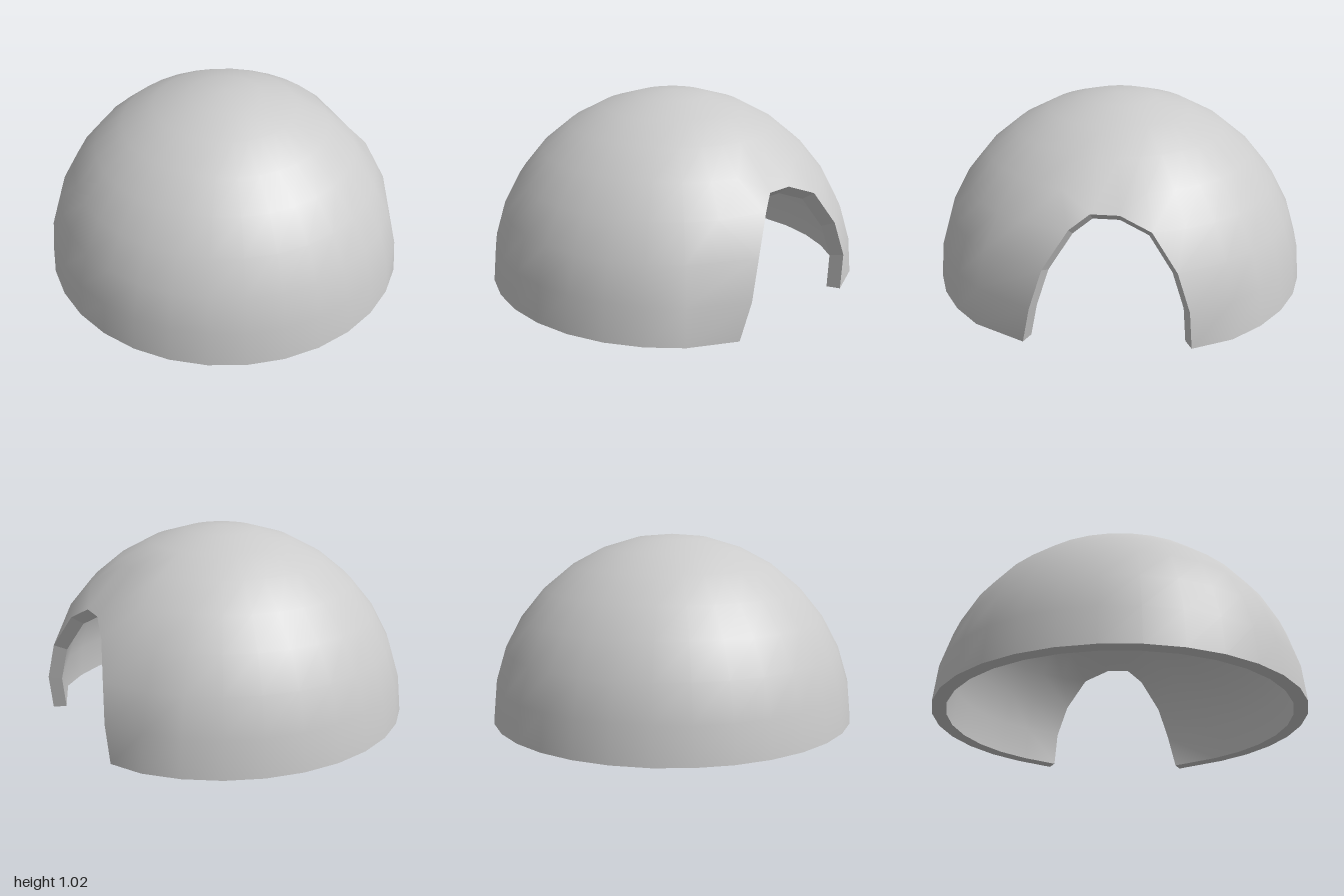
import * as THREE from 'three';

const COLS = 32, ROWS = 8;
const CENTRE = new THREE.Vector3(0.045, 0.022, 0);

// Corners of the doorway, pulled off the regular dome grid: row, column, x, y, z
const DOORWAY = [
  [0, 3, 0.875, 0, 0.46], [1, 3, 0.91, 0.2, 0.42], [2, 3, 0.895, 0.4, 0.355],
  [3, 2, 0.84, 0.58, 0.23], [4, 1, 0.79, 0.64, 0.13], [4, 0, 0.805, 0.64, -0.01],
  [3, 31, 0.86, 0.58, -0.16], [2, 30, 0.92, 0.4, -0.28], [1, 30, 0.95, 0.21, -0.34],
  [0, 30, 0.935, 0.005, -0.355],
];

const index = (r, j) => r === ROWS ? ROWS * COLS : r * COLS + (j + COLS) % COLS;

// Grid points missing inside the doorway
const removed = new Set([index(3, 0), index(3, 1)]);
for (let r = 0; r < 3; r++) for (let j = -1; j <= 2; j++) removed.add(index(r, j));

// Hemisphere grid points with the doorway corners moved into place
function domePoints() {
  const pts = [];
  for (let r = 0; r < ROWS; r++) {
    const lat = r / ROWS * Math.PI / 2;
    for (let j = 0; j < COLS; j++) {
      const a = j / COLS * Math.PI * 2;
      pts.push(new THREE.Vector3(
        Math.cos(lat) * Math.cos(a), Math.sin(lat), Math.cos(lat) * Math.sin(a)).add(CENTRE));
    }
  }
  pts.push(new THREE.Vector3(0, 1, 0).add(CENTRE));
  for (const [r, j, x, y, z] of DOORWAY) pts[index(r, j)].set(x, y, z);
  return pts;
}

// Dome skin; faces touching the doorway shrink to triangles or vanish
function skin(pts, inward) {
  const faces = [];
  for (let r = 0; r < ROWS; r++) for (let j = 0; j < COLS; j++) {
    const quad = [index(r, j + 1), index(r, j), index(r + 1, j)];
    if (r < ROWS - 1) quad.push(index(r + 1, j + 1));
    const c = quad.filter(i => !removed.has(i));
    for (let k = 2; k < c.length; k++) {
      if (inward) faces.push(c[0], c[k], c[k - 1]);
      else faces.push(c[0], c[k - 1], c[k]);
    }
  }
  const g = new THREE.BufferGeometry().setFromPoints(pts);
  g.setIndex(faces);
  g.computeVertexNormals();
  return g.toNonIndexed();
}

// Flat band joining both skins along the base and round the doorway
function rim(outer, inner) {
  const loop = [];
  for (let j = 29; j > 3; j--) loop.push(index(0, j));
  for (const [r, j] of DOORWAY) loop.push(index(r, j));
  const tris = [];
  loop.forEach((a, k) => {
    const b = loop[(k + 1) % loop.length];
    tris.push(outer[b], outer[a], inner[a], outer[b], inner[a], inner[b]);
  });
  const g = new THREE.BufferGeometry().setFromPoints(tris);
  g.computeVertexNormals();
  return g;
}

export function createModel() {
  const group = new THREE.Group();
  group.name = 'domeShelter';
  const material = new THREE.MeshStandardMaterial({ color: 0xcccccc });
  const outer = domePoints();
  const inner = outer.map(p => p.clone().sub(CENTRE).multiplyScalar(0.925).add(CENTRE));
  const add = (name, geometry) => {
    const mesh = new THREE.Mesh(geometry, material);
    mesh.name = name;
    group.add(mesh);
  };
  add('outerShell', skin(outer, false));
  add('innerShell', skin(inner, true));
  add('wallRim', rim(outer, inner));
  return group;
}
